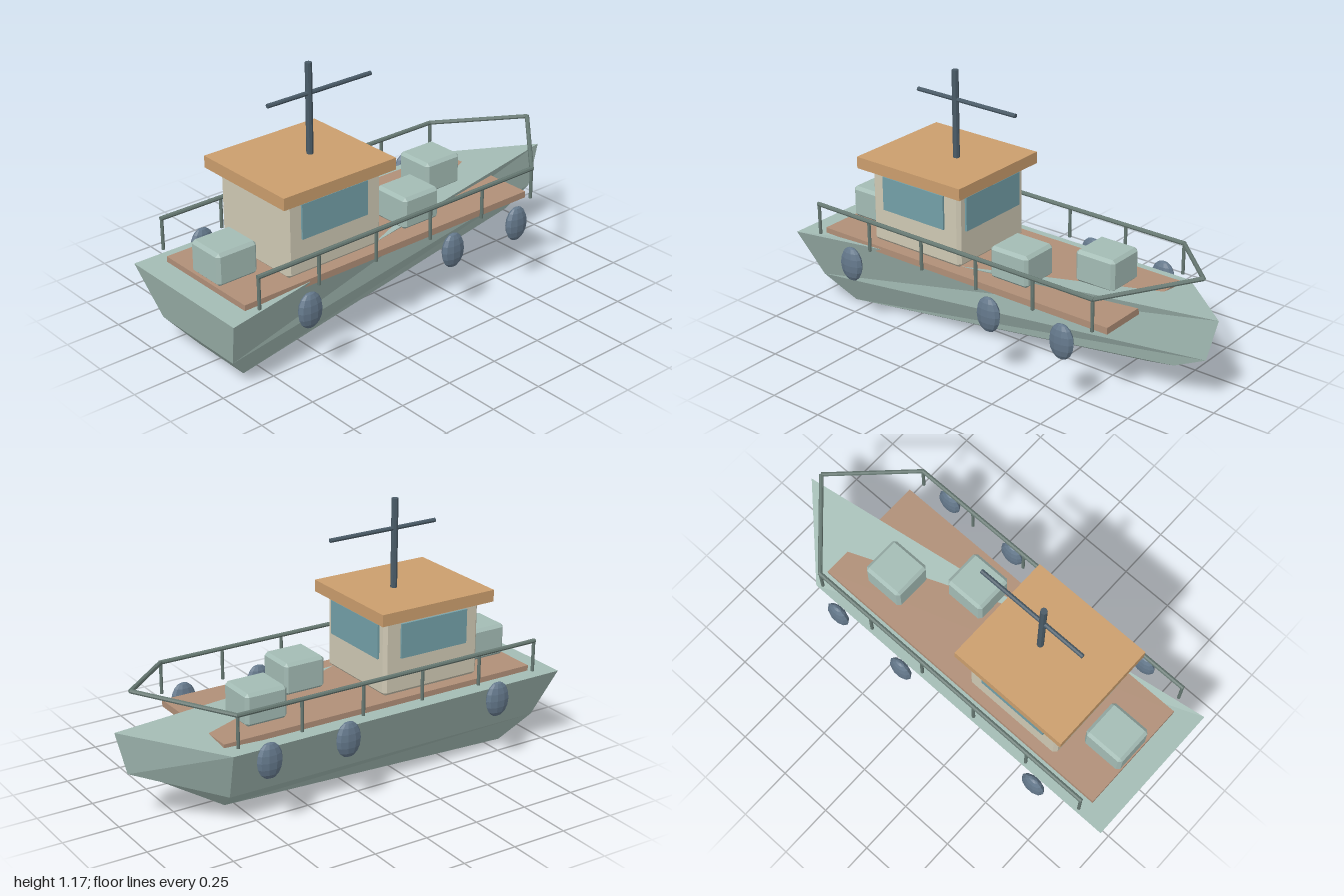
import * as THREE from 'three';
import { ConvexGeometry } from 'three/addons/geometries/ConvexGeometry.js';

const paint = (name, color, flatShading = true) => {
  const m = new THREE.MeshStandardMaterial({ color, flatShading });
  m.name = name;
  return m;
};

export function createModel() {
  const boat = new THREE.Group();
  boat.name = 'boat';
  const green = paint('paleGreen', 0xa4bcb5);
  const deckBrown = paint('deckBrown', 0xb08f78);
  const roofTan = paint('roofTan', 0xcb9e6d);
  const cream = paint('cream', 0xcfc9b4);
  const glass = paint('glass', 0x73a0a8);
  const railGrey = paint('railGrey', 0x667872);
  const mastGrey = paint('mastGrey', 0x4a5b67);
  const fenderBlue = paint('fenderBlue', 0x64788b);

  const add = (name, geometry, material, x = 0, y = 0, z = 0) => {
    const mesh = new THREE.Mesh(geometry, material);
    mesh.name = name;
    mesh.position.set(x, y, z);
    boat.add(mesh);
    return mesh;
  };

  // Box with all edges chamfered by c
  const chamferBox = (w, h, d, c) => {
    const pts = [];
    for (const sx of [-1, 1]) for (const sy of [-1, 1]) for (const sz of [-1, 1]) {
      for (let axis = 0; axis < 3; axis++) {
        const inset = [c, c, c];
        inset[axis] = 0;
        pts.push(new THREE.Vector3(
          sx * (w / 2 - inset[0]), sy * (h / 2 - inset[1]), sz * (d / 2 - inset[2])));
      }
    }
    return new ConvexGeometry(pts);
  };

  // Straight round bar between two points
  const bar = (name, a, b, radius, material) => {
    const from = new THREE.Vector3(...a), to = new THREE.Vector3(...b);
    const dir = to.clone().sub(from);
    const mesh = add(name, new THREE.CylinderGeometry(radius, radius, dir.length(), 8), material);
    mesh.position.copy(from).add(to).multiplyScalar(0.5);
    mesh.quaternion.setFromUnitVectors(new THREE.Vector3(0, 1, 0), dir.normalize());
  };

  // Hull: keel, chine and gunwale rings, each running stern left, bow, shoulder, stern right
  const rings = [
    [[-0.83, 0, 0.155], [0.8, 0.15, 0], [0.58, 0.04, -0.13], [-0.83, 0, -0.155]],
    [[-0.94, 0.13, 0.24], [0.95, 0.225, 0], [0.615, 0.13, -0.24], [-0.94, 0.13, -0.24]],
    [[-1, 0.36, 0.34], [1, 0.42, 0], [0.65, 0.36, -0.34], [-1, 0.36, -0.34]],
  ];
  const corners = [];
  const quad = (a, b, c, d) => corners.push(...a, ...b, ...c, ...a, ...c, ...d);
  for (let r = 0; r < 2; r++) {
    for (let i = 0; i < 4; i++) {
      const j = (i + 1) % 4;
      quad(rings[r][i], rings[r][j], rings[r + 1][j], rings[r + 1][i]);
    }
  }
  quad(...rings[2]);
  const [k0, k1, k2, k3] = rings[0];
  quad(k0, k3, k2, k1);
  const hull = new THREE.BufferGeometry();
  hull.setAttribute('position', new THREE.Float32BufferAttribute(corners, 3));
  hull.computeVertexNormals();
  add('hull', hull, green);

  // Deck and wheelhouse
  add('deck', new THREE.BoxGeometry(1.54, 0.03, 0.53), deckBrown, -0.12, 0.37, 0);
  add('cabin', chamferBox(0.49, 0.345, 0.44, 0.015), cream, -0.395, 0.5575, 0);
  add('roof', new THREE.BoxGeometry(0.575, 0.053, 0.524), roofTan, -0.3975, 0.751, 0);

  // Windows
  for (const side of [-1, 1]) {
    add('sideWindow', new THREE.BoxGeometry(0.34, 0.155, 0.0095), glass, -0.4, 0.625, side * 0.2245);
  }
  add('bowWindow', new THREE.BoxGeometry(0.0095, 0.155, 0.36), glass, -0.1455, 0.625, 0);

  // Mast and crossbar
  bar('mast', [-0.345, 0.77, 0], [-0.345, 1.175, 0], 0.015, mastGrey);
  bar('crossbar', [-0.555, 1.043, 0], [-0.02, 1.043, 0], 0.01, mastGrey);

  // Crates
  for (const [x, z] of [[-0.787, -0.004], [0.095, 0.106], [0.397, -0.085]]) {
    add('crate', chamferBox(0.197, 0.146, 0.187, 0.014), green, x, 0.456, z);
  }

  // Railings and fenders on both sides
  const fender = new THREE.SphereGeometry(1, 10, 8).scale(0.06, 0.08, 0.029);
  for (const side of [-1, 1]) {
    const z = side * 0.326;
    bar('sideRail', [-0.87, 0.527, z], [0.625, 0.527, z], 0.01, railGrey);
    bar('bowRail', [0.62, 0.527, z], [0.92, 0.582, 0], 0.01, railGrey);
    for (let i = 0; i < 6; i++) {
      const x = -0.865 + i * 0.297;
      bar('railPost', [x, 0.385, z], [x, 0.527, z], 0.0075, railGrey);
    }
    for (const x of [-0.645, 0.123, 0.498]) {
      add('fender', fender, fenderBlue, x, 0.316, side * 0.363);
    }
  }
  return boat;
}
